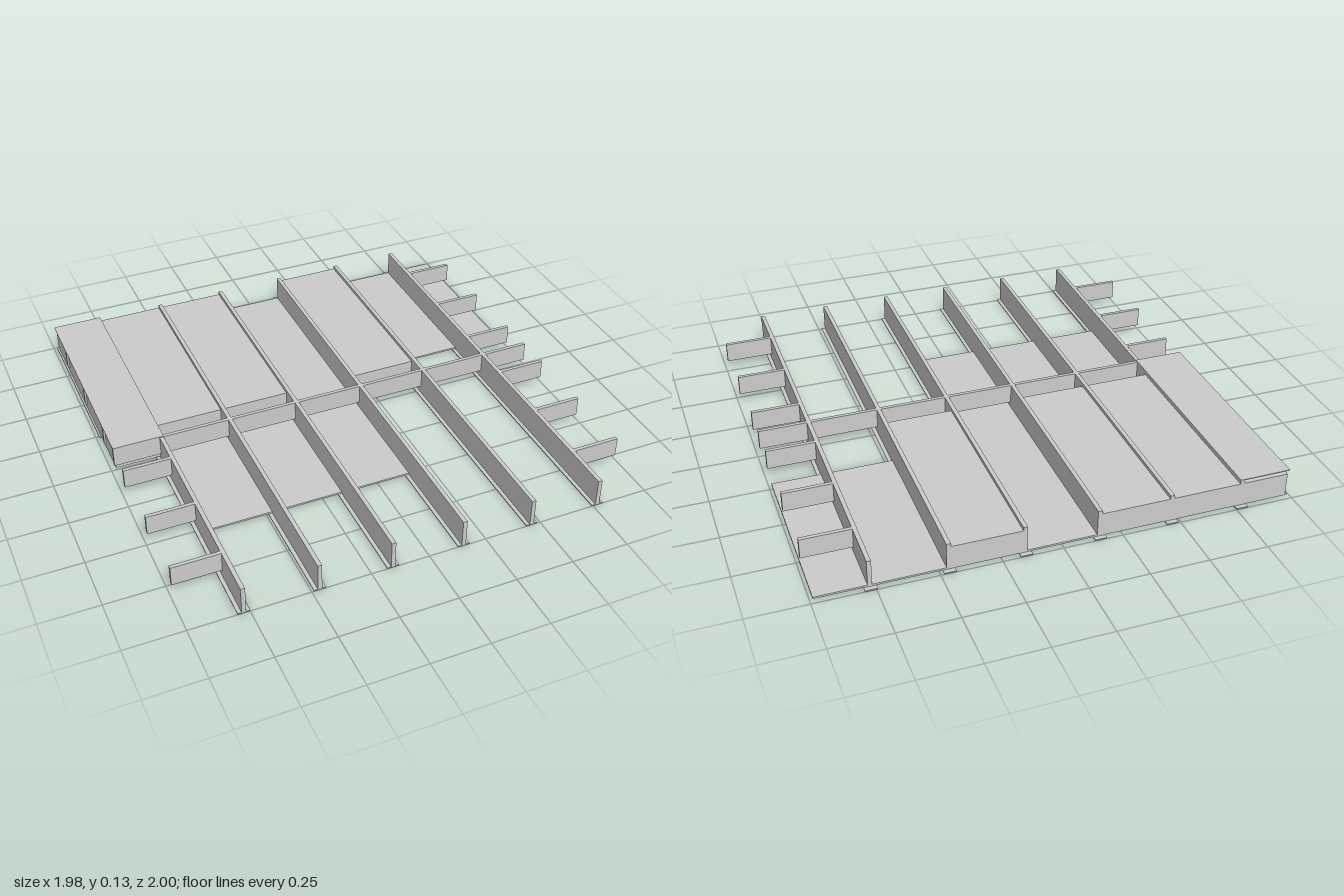
import * as THREE from 'three';

export function createModel() {
  const model = new THREE.Group();
  const mat = new THREE.MeshStandardMaterial({ color: 0xcccccc, flatShading: true });

  // box given by its min and max on each axis
  function box(name, x0, x1, y0, y1, z0, z1) {
    const mesh = new THREE.Mesh(new THREE.BoxGeometry(x1 - x0, y1 - y0, z1 - z0), mat);
    mesh.position.set((x0 + x1) / 2, (y0 + y1) / 2, (z0 + z1) / 2);
    mesh.name = name;
    model.add(mesh);
  }

  const side = 0.988, back = -0.98, top = 0.125, sheetTop = 0.013, half = 0.009;
  const joists = [0, 1, 2, 3, 4, 5].map(i => -0.775 + i * 0.309);

  // joists: upright web on a thin bottom flange
  for (const x of joists) {
    box('joistFlange', x - 0.025, x + 0.025, 0, 0.005, -1, 1);
    box('joistWeb', x - half, x + half, 0.005, top, back, 1);
  }

  // bays between the joists, including the two outer overhangs
  const edges = [-side - half, ...joists, side + half];
  const bays = edges.slice(1).map((x, i) => [edges[i] + half, x - half]);

  // lower sheets resting on the flanges
  bays.forEach(([x0, x1], i) => {
    const front = i >= 1 && i <= 3 ? 0.525 : -0.23;
    box('lowerSheet', x0, x1, 0.005, sheetTop, back, front);
  });

  // insulation filling some of the bays
  for (const i of [1, 2, 4]) box('insulation', ...bays[i], sheetTop, 0.11, back, -0.085);
  box('insulation', bays[0][0] + 0.008, bays[0][1], sheetTop, 0.11, back, 0.003);

  // row of blocking across the middle
  for (const [x0, x1] of bays) box('middleBlocking', x0, x1, 0.038, top, 0.002, 0.018);

  // short outrigger blocks in both overhangs
  for (const z of [-0.767, -0.457, -0.147, 0.163, 0.473, 0.783])
    for (const i of [0, 6]) box('outriggerBlock', ...bays[i], 0.038, top, z - 0.008, z + 0.008);

  // upper sheet over the right overhang
  box('upperSheet', -side, joists[0] + half, top, 0.129, back, 0.018);

  return model;
}
